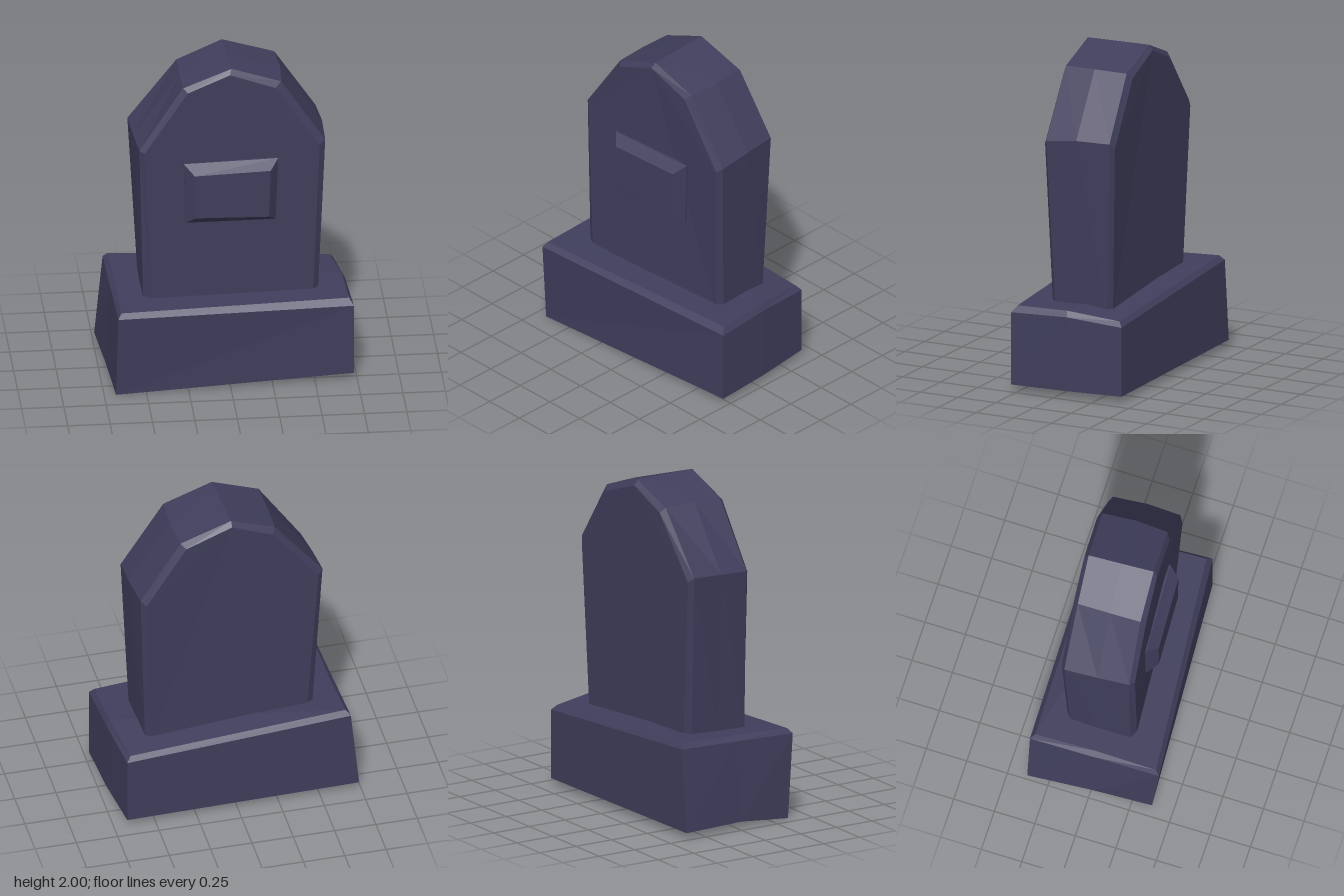
import * as THREE from 'three';

// Skins a stack of matching rings (counter-clockwise seen from the last ring) and caps both ends.
function loft(rings, fanStart = 0) {
  const n = rings[0].length;
  const pos = [];
  const tri = (a, b, c) => pos.push(...a, ...b, ...c);
  for (let k = 0; k < rings.length - 1; k++) {
    const lo = rings[k], hi = rings[k + 1];
    for (let i = 0; i < n; i++) {
      const j = (i + 1) % n;
      tri(lo[i], lo[j], hi[j]);
      tri(lo[i], hi[j], hi[i]);
    }
  }
  const first = rings[0], last = rings[rings.length - 1];
  for (let i = 1; i < n - 1; i++) {
    const a = fanStart, b = (fanStart + i) % n, c = (fanStart + i + 1) % n;
    tri(last[a], last[b], last[c]);
    tri(first[a], first[c], first[b]);
  }
  const geometry = new THREE.BufferGeometry();
  geometry.setAttribute('position', new THREE.Float32BufferAttribute(pos, 3));
  geometry.computeVertexNormals();
  return geometry;
}

export function createModel() {
  const group = new THREE.Group();
  const stone = new THREE.MeshStandardMaterial({ color: 0x403e5c });
  stone.name = 'slate stone';
  stone.flatShading = true;

  const add = (name, geometry) => {
    const mesh = new THREE.Mesh(geometry, stone);
    mesh.name = name;
    group.add(mesh);
  };

  // Crooked plinth with a bevelled top: front left, front right, mid right, back right, back left, mid left
  add('plinth', loft([
    [[-0.68, 0, 0.37], [0.73, 0.04, 0.29], [0.71, 0.04, -0.06],
      [0.67, 0.04, -0.41], [-0.74, 0.04, -0.38], [-0.71, 0.04, 0.02]],
    [[-0.67, 0.51, 0.41], [0.73, 0.48, 0.29], [0.71, 0.49, -0.07],
      [0.67, 0.46, -0.41], [-0.69, 0.54, -0.38], [-0.68, 0.525, 0.01]],
    [[-0.65, 0.54, 0.385], [0.705, 0.52, 0.26], [0.69, 0.525, -0.06],
      [0.645, 0.49, -0.385], [-0.665, 0.57, -0.355], [-0.65, 0.555, 0.01]],
  ], 2));

  // Headstone slab from back to front: bottom left, bottom right, right shoulder, right crown, apex, left crown, left shoulder
  add('headstone', loft([
    [[-0.46, 0.48, -0.22], [0.49, 0.48, -0.26], [0.525, 1.5, -0.29], [0.28, 1.87, -0.28],
      [0.0, 1.97, -0.265], [-0.25, 1.86, -0.25], [-0.53, 1.5, -0.235]],
    [[-0.5, 0.48, -0.19], [0.52, 0.48, -0.235], [0.555, 1.53, -0.27], [0.31, 1.9, -0.255],
      [0.0, 2.0, -0.24], [-0.27, 1.89, -0.22], [-0.56, 1.525, -0.21]],
    [[-0.505, 0.48, 0], [0.53, 0.48, -0.07], [0.575, 1.53, -0.06], [0.325, 1.905, -0.05],
      [0.01, 2.0, -0.04], [-0.27, 1.895, -0.02], [-0.545, 1.515, -0.01]],
    [[-0.5, 0.48, 0.18], [0.535, 0.48, 0.1], [0.575, 1.505, 0.14], [0.315, 1.9, 0.145],
      [0.02, 2.0, 0.155], [-0.265, 1.89, 0.165], [-0.525, 1.5, 0.18]],
    [[-0.455, 0.48, 0.205], [0.505, 0.48, 0.13], [0.54, 1.48, 0.165], [0.28, 1.87, 0.17],
      [0.01, 1.97, 0.18], [-0.24, 1.87, 0.195], [-0.495, 1.49, 0.205]],
  ], 4));

  // Bevelled blank plaque: bottom left, bottom right, top right, top left
  add('plaque', loft([
    [[-0.255, 1.025, 0.16], [0.28, 1.01, 0.13], [0.295, 1.41, 0.13], [-0.265, 1.41, 0.16]],
    [[-0.255, 1.025, 0.2], [0.28, 1.01, 0.165], [0.295, 1.41, 0.17], [-0.265, 1.41, 0.2]],
    [[-0.2, 1.08, 0.258], [0.235, 1.06, 0.235], [0.245, 1.36, 0.235], [-0.205, 1.355, 0.258]],
  ]));

  return group;
}
